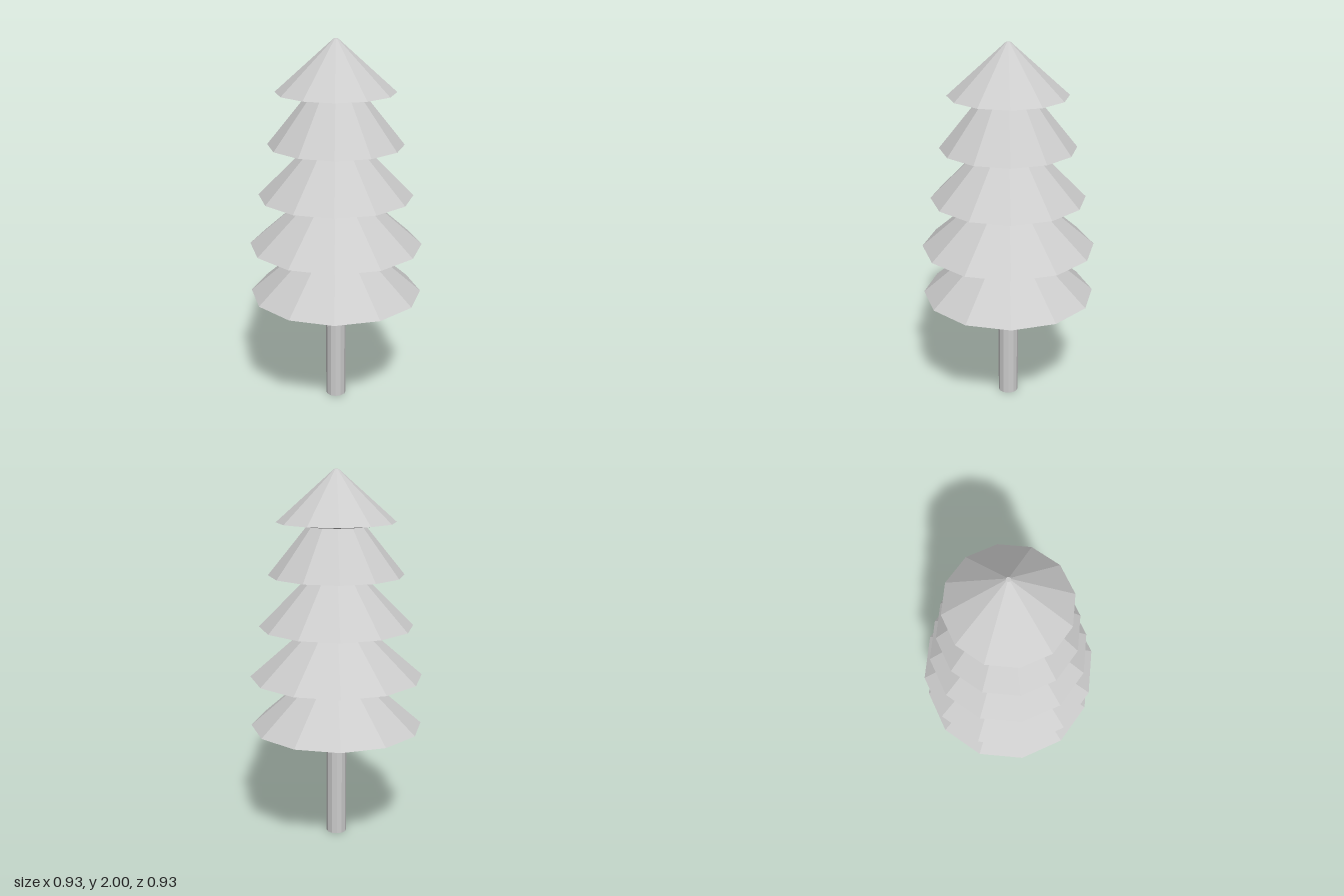
import * as THREE from 'three';

const SIDES = 12;

export function createModel() {
  const tree = new THREE.Group();
  tree.name = 'tree';
  const material = new THREE.MeshStandardMaterial({ color: 0xcccccc, flatShading: true });

  // Trunk, reaching a little into the lowest tier
  const trunk = new THREE.Mesh(new THREE.CylinderGeometry(0.055, 0.055, 0.63, SIDES), material);
  trunk.name = 'trunk';
  trunk.position.y = 0.315;
  tree.add(trunk);

  // Foliage tiers: rim radius, rim height, inner underside radius and height, top radius and height
  const tiers = [
    [0.465, 0.63, 0.055, 0.607, 0.15, 0.903],
    [0.465, 0.905, 0.15, 0.9, 0.155, 1.175],
    [0.413, 1.18, 0.155, 1.17, 0.15, 1.445],
    [0.36, 1.455, 0.15, 1.441, 0.15, 1.715],
    [0.315, 1.73, 0.15, 1.71, 0.012, 2],
  ];
  tiers.forEach(([rimR, rimY, innerR, innerY, topR, topY], i) => {
    const profile = [[0, innerY], [innerR, innerY], [rimR, rimY], [topR, topY], [0, topY]];
    const geometry = new THREE.LatheGeometry(profile.map(([r, y]) => new THREE.Vector2(r, y)), SIDES);
    const tier = new THREE.Mesh(geometry, material);
    tier.name = `foliageTier${i + 1}`;
    tree.add(tier);
  });

  return tree;
}
